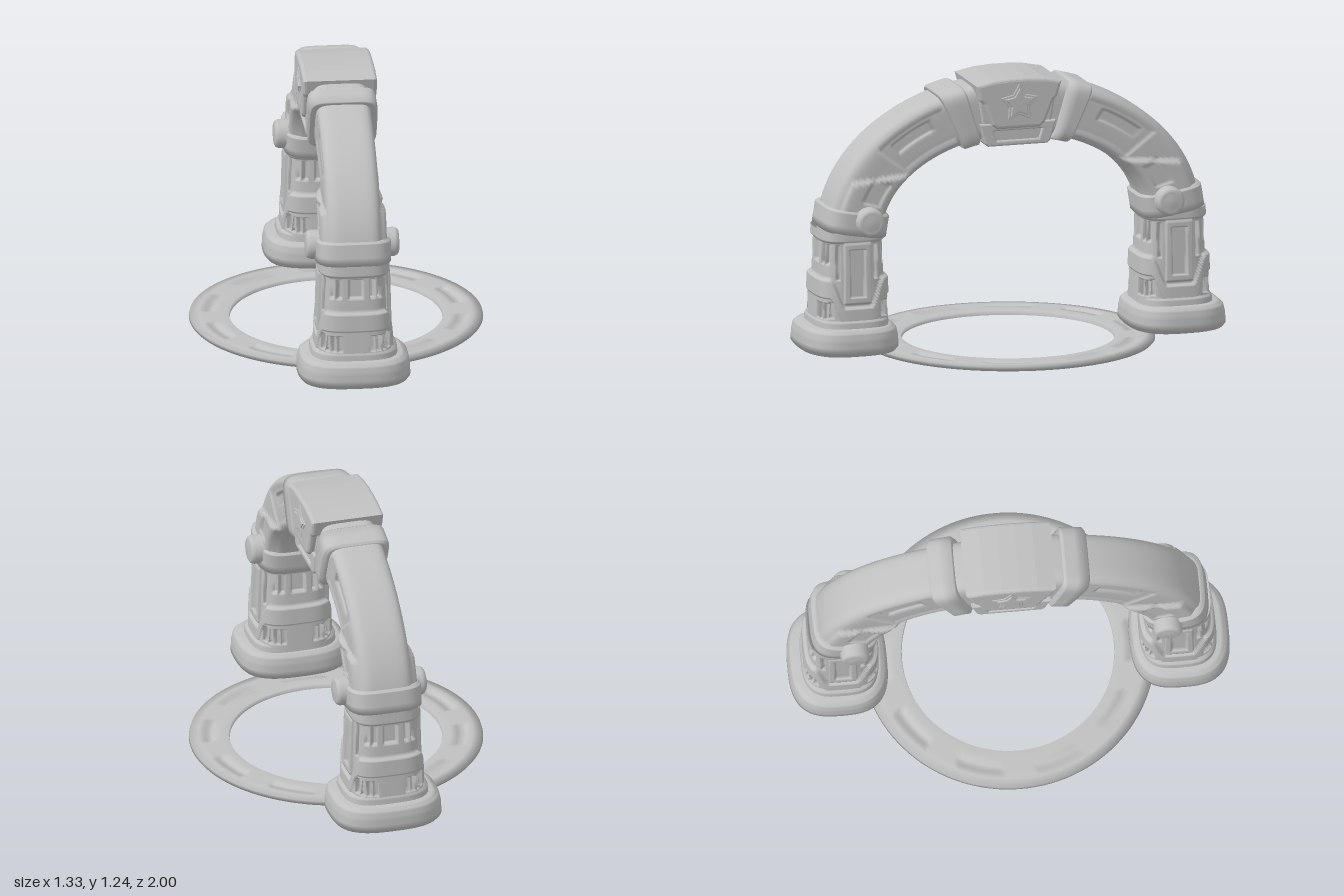
import * as THREE from 'three';
import { ParametricGeometry } from 'three/addons/geometries/ParametricGeometry.js';

const stone = new THREE.MeshStandardMaterial({ color: 0xc0c0c0, side: THREE.DoubleSide });
stone.name = 'stone grey';

const DEG = Math.PI / 180;
const smooth = THREE.MathUtils.smoothstep;

function add(parent, name, geometry) {
  const mesh = new THREE.Mesh(geometry, stone);
  mesh.name = name;
  parent.add(mesh);
  return mesh;
}

// Value at t (0..1) along a list of profile points
function along(profile, t) {
  const n = profile.length - 1;
  const i = Math.min(Math.floor(t * n), n - 1);
  return profile[i].map((a, k) => a + (profile[i + 1][k] - a) * (t * n - i));
}

// Unit rounded square of power n
function rounded(angle, n) {
  const c = Math.cos(angle), s = Math.sin(angle);
  const r = (Math.abs(c) ** n + Math.abs(s) ** n) ** (-1 / n);
  return [c * r, s * r];
}

// 1 inside a soft edged rectangle, 0 outside
function patch(a, b, [ca, cb, ha, hb], soft = 0.006) {
  return (1 - smooth(Math.abs(a - ca), ha - soft, ha + soft)) *
    (1 - smooth(Math.abs(b - cb), hb - soft, hb + soft));
}

// Upright rounded solid; profile points are [y, halfX, halfZ]
function upright(profile, n, slices, perSegment, relief = () => 0) {
  return new ParametricGeometry((u, v, p) => {
    const [y, hx, hz] = along(profile, v);
    const [c, s] = rounded(u * 2 * Math.PI, n);
    const d = relief(c * hx, y, s * hz);
    p.set(c * (hx + d), y, -s * (hz + d));
  }, slices, (profile.length - 1) * perSegment);
}

// Solid swept along the arch; profile points are [degrees, halfWidth, halfDepth]
function archSweep(profile, n, slices, perSegment, relief = () => 0) {
  return new ParametricGeometry((u, v, p) => {
    const [deg, hw, hd] = along(profile, v);
    const [c, s] = rounded(u * 2 * Math.PI, n);
    const depth = 0.5 + s * hd;
    const a = 0.62 + 0.265 * depth, b = 0.415 + 0.255 * depth;
    const y = 0.55 + b * Math.sin(deg * DEG);
    const flank = smooth(Math.abs(c), 0.85, 0.97);
    p.set(-c * (hw + flank * relief(deg, depth, y)), y, a * Math.cos(deg * DEG));
  }, slices, (profile.length - 1) * perSegment);
}

// Slots on the front and back walls [|x|, y, halfWidth, halfHeight], and on the sides by |z|
const wallSlots = [
  [0, 0.475, 0.034, 0.045], [0.078, 0.475, 0.012, 0.045], [0.111, 0.475, 0.011, 0.045],
  [0.07, 0.218, 0.01, 0.036], [0.097, 0.218, 0.01, 0.036], [0.124, 0.218, 0.01, 0.036],
];
const sideSlots = [[0, 0.39, 0.034, 0.11], [0.115, 0.225, 0.01, 0.036], [0.09, 0.44, 0.008, 0.08]];

function pillarRelief(x, y, z) {
  const ax = Math.abs(x), az = Math.abs(z);
  const onSide = ax > az;
  // Thick lower wall, its rim dipping on the sides around the tall slot
  const dip = onSide ? 0.13 * (1 - smooth(az, 0.055, 0.12)) : 0;
  let d = 0.013 * (1 - smooth(y, 0.355 - dip, 0.372 - dip));
  d += 0.006 * smooth(y, 0.275 - dip, 0.285 - dip) * (1 - smooth(y, 0.355 - dip, 0.372 - dip));
  d += 0.012 * smooth(y, 0.525, 0.54);
  if (onSide) d += 0.014 * patch(az, y, [0, 0.39, 0.06, 0.14]);
  for (const slot of onSide ? sideSlots : wallSlots) {
    d -= 0.02 * patch(onSide ? az : ax, y, slot, 0.004);
  }
  return d;
}

function createLeg() {
  const leg = new THREE.Group();
  leg.name = 'leg';

  const foot = add(leg, 'foot', upright([
    [0.02, 0.001, 0.001], [0.02, 0.225, 0.195], [0.026, 0.243, 0.213], [0.042, 0.255, 0.226],
    [0.09, 0.253, 0.224], [0.122, 0.246, 0.217], [0.138, 0.23, 0.2], [0.143, 0.2, 0.175],
    [0.143, 0.1, 0.1],
  ], 2.9, 72, 2));
  foot.position.z = 0.775;

  const plinth = add(leg, 'plinth', upright([
    [0.135, 0.198, 0.175], [0.165, 0.195, 0.173], [0.175, 0.186, 0.168], [0.178, 0.13, 0.13],
  ], 3.2, 64, 2));
  plinth.position.z = 0.767;

  const pillar = add(leg, 'pillar', upright([
    [0.15, 0.16, 0.158], [0.58, 0.149, 0.14],
  ], 3.4, 220, 70, pillarRelief));
  pillar.position.z = 0.762;

  // Tilted band that joins pillar and arch
  const collar = add(leg, 'collar', upright([
    [-0.055, 0.12, 0.11], [-0.055, 0.158, 0.142], [-0.046, 0.17, 0.152], [0.046, 0.17, 0.152],
    [0.055, 0.16, 0.143], [0.057, 0.11, 0.1],
  ], 3.6, 72, 3));
  collar.position.set(0, 0.612, 0.747);
  collar.rotation.x = -0.16;

  // Round bosses on both sides of the collar
  const bossProfile = [[0.066, 0], [0.066, 0.19], [0.06, 0.204], [0.05, 0.211], [0.044, 0.207],
    [0.03, 0.212], [0, 0.213]].map(([r, h]) => new THREE.Vector2(r, h));
  for (const side of [-1, 1]) {
    const boss = add(leg, 'boss', new THREE.LatheGeometry(bossProfile, 32));
    boss.position.set(0, 0.627, 0.71);
    boss.rotation.z = -side * Math.PI / 2;
  }
  return leg;
}

// Side panels of the arch: low shoulder plates, shallow panels and deeper slots
function archRelief(deg, depth, y) {
  const a = Math.min(deg, 180 - deg);
  let d = 0.024 * (1 - smooth(y, 0.81 - 0.03 * depth, 0.84 - 0.03 * depth)) *
    (1 - smooth(depth, 0.8, 0.9));
  d -= 0.011 * patch(a, depth * 20, [52, 10, 13, 6.5], 0.6);
  d -= 0.016 * patch(a, depth * 20, [51, 12, 8, 2.2], 0.6);
  d -= 0.012 * patch(a, depth * 20, [23, 8, 6, 3], 0.8);
  return d;
}

// Block with its outline in the z-y plane, extruded across x
function crossBlock(points, halfWidth, bevel, hole) {
  const toShape = (pts) => pts.map(([z, y]) => new THREE.Vector2(z, y));
  const shape = new THREE.Shape(toShape(points));
  if (hole) shape.holes.push(new THREE.Path(toShape(hole)));
  const geometry = new THREE.ExtrudeGeometry(shape, {
    depth: 2 * (halfWidth - bevel), bevelThickness: bevel, bevelSize: bevel,
    bevelOffset: -bevel, bevelSegments: 3,
  });
  return geometry.translate(0, 0, bevel - halfWidth).rotateY(Math.PI / 2);
}

const mirrored = (half) => [...half, ...half.map(([z, y]) => [-z, y]).reverse()];

function createKeystone() {
  const keystone = new THREE.Group();
  keystone.name = 'keystone';
  add(keystone, 'keystoneCap', crossBlock(mirrored([
    [0.1, 1.01], [0.125, 1.03], [0.165, 1.13], [0.185, 1.15], [0.205, 1.22], [0.12, 1.237], [0.04, 1.243],
  ]), 0.168, 0.016));
  add(keystone, 'keystoneCore', crossBlock(mirrored([
    [0.13, 0.94], [0.165, 1.04], [0.19, 1.2],
  ]), 0.138, 0.01));
  // Lower block with a long slot on each side
  add(keystone, 'keystoneBase', crossBlock(mirrored([
    [0.14, 0.93], [0.155, 0.945], [0.18, 1.035],
  ]), 0.15, 0.008, mirrored([[0.1, 0.955], [0.115, 1.0]])));

  // Raised five pointed ornaments, a low tier and a higher one
  for (const [name, size, width] of [['starBorder', 0.093, 0.172], ['star', 0.07, 0.178]]) {
    const points = Array.from({ length: 10 }, (_, i) => {
      const r = i % 2 ? size * 0.56 : size;
      return [r * Math.sin(i * 36 * DEG), 1.127 + r * Math.cos(i * 36 * DEG)];
    }).reverse();
    add(keystone, name, crossBlock(points, width, 0.005));
  }
  return keystone;
}

// Flat ring with shallow dashes pressed into its top
function ringGeometry() {
  const profile = [[0.48, 0], [0.658, 0], [0.665, 0.008], [0.662, 0.02], [0.62, 0.025], [0.595, 0.025],
    [0.585, 0.025], [0.56, 0.025], [0.55, 0.025], [0.52, 0.025], [0.484, 0.02], [0.48, 0]];
  return new ParametricGeometry((u, v, p) => {
    const [r, y] = along(profile, v);
    const dash = Math.abs(((u * 10) % 1) - 0.5);
    const dent = y > 0.01 ? 0.009 * patch(r, dash, [0.572, 0, 0.018, 0.3], 0.008) : 0;
    const a = u * 2 * Math.PI;
    p.set(r * Math.cos(a), y - dent, -r * Math.sin(a));
  }, 120, profile.length - 1);
}

export function createModel() {
  const model = new THREE.Group();
  model.name = 'archway';

  add(model, 'groundRing', ringGeometry());

  const frontLeg = createLeg();
  frontLeg.name = 'frontLeg';
  const backLeg = frontLeg.clone();
  backLeg.name = 'backLeg';
  backLeg.rotation.y = Math.PI;
  model.add(frontLeg, backLeg);

  add(model, 'arch', archSweep([[0, 0.127, 0.5], [180, 0.127, 0.5]], 5, 80, 140, archRelief));

  // Straps on both sides of the keystone
  for (const mid of [70, 110]) {
    add(model, 'strap', archSweep([
      [mid - 4, 0.11, 0.42], [mid - 4, 0.147, 0.53], [mid - 3.2, 0.157, 0.56],
      [mid + 3.2, 0.157, 0.56], [mid + 4, 0.147, 0.53], [mid + 4, 0.11, 0.42],
    ], 6, 72, 2));
  }

  model.add(createKeystone());
  return model;
}
